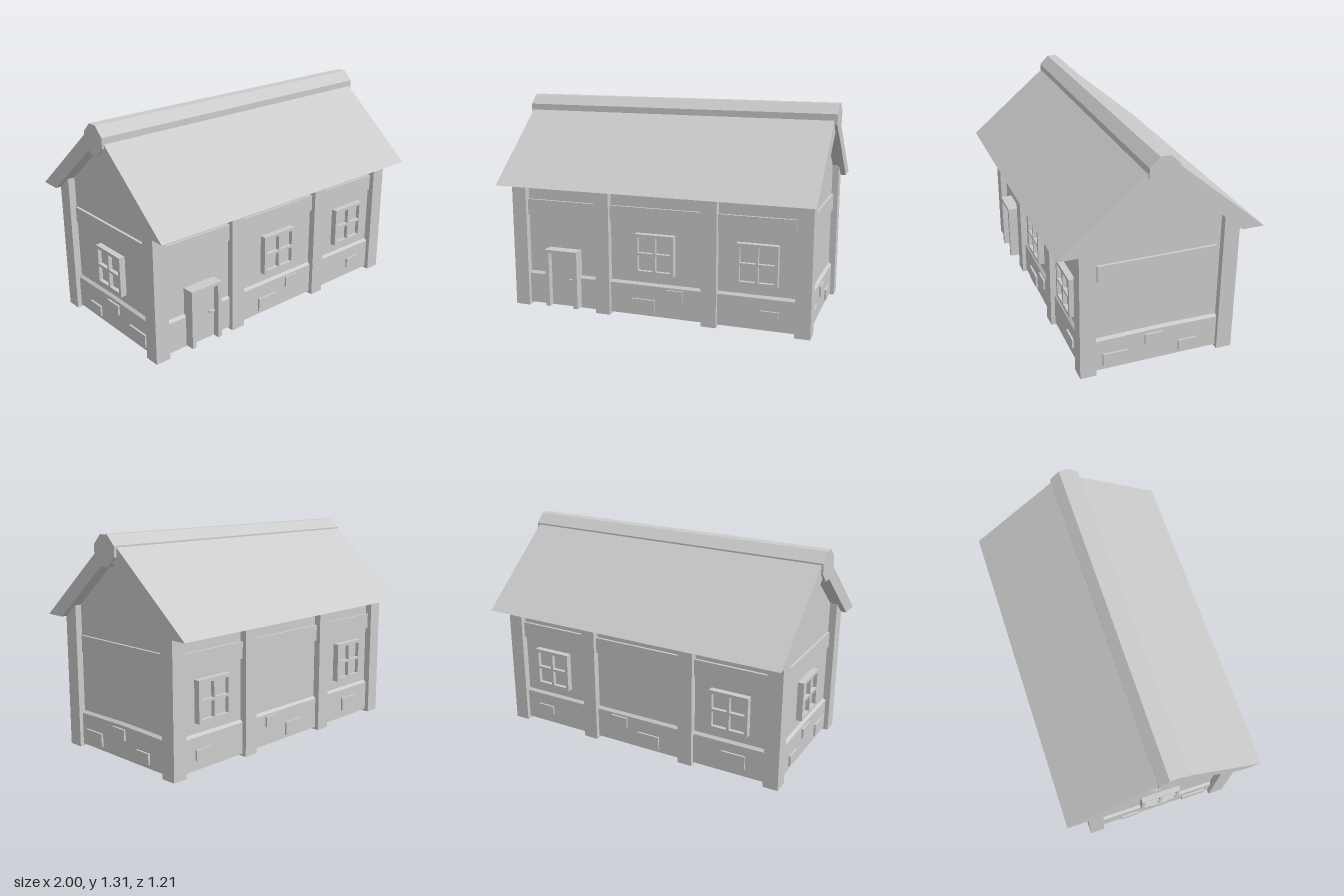
import * as THREE from 'three';

const mat = new THREE.MeshStandardMaterial({ color: 0xcccccc, flatShading: true });

function add(parent, name, geometry) {
  const mesh = new THREE.Mesh(geometry, mat);
  mesh.name = name;
  parent.add(mesh);
  return mesh;
}

// Box given by its limits on each axis
function block(parent, name, x0, x1, y0, y1, z0, z1) {
  const mesh = add(parent, name, new THREE.BoxGeometry(x1 - x0, y1 - y0, z1 - z0));
  mesh.position.set((x0 + x1) / 2, (y0 + y1) / 2, (z0 + z1) / 2);
  return mesh;
}

// Extrudes a [z, y] outline along x
function alongX(parent, name, points, x0, x1) {
  const shape = new THREE.Shape(points.map(([z, y]) => new THREE.Vector2(-z, y)));
  const geo = new THREE.ExtrudeGeometry(shape, { depth: x1 - x0, bevelEnabled: false });
  geo.rotateY(Math.PI / 2).translate(x0, 0, 0);
  return add(parent, name, geo);
}

// Four-pane window on a wall at distance d
function addWindow(side, x, d) {
  const win = new THREE.Group();
  win.name = 'window';
  win.position.set(x, 0.408, d);
  side.add(win);
  const rect = (path, x0, x1, y0, y1) =>
    path.moveTo(x0, y0).lineTo(x1, y0).lineTo(x1, y1).lineTo(x0, y1).closePath();
  const shape = rect(new THREE.Shape(), -0.124, 0.124, -0.124, 0.124);
  for (const a of [-0.104, 0.008])
    for (const b of [-0.104, 0.008])
      shape.holes.push(rect(new THREE.Path(), a, a + 0.096, b, b + 0.096));
  add(win, 'windowFrame', new THREE.ExtrudeGeometry(shape, { depth: 0.038, bevelEnabled: false }));
  block(win, 'windowPanes', -0.11, 0.11, -0.11, 0.11, -0.01, 0.014);
}

// One face of the house, built facing +z and then turned into place
function addSide(house, name, angle, d, band, windows, stones) {
  const side = new THREE.Group();
  side.name = name;
  side.rotation.y = angle;
  house.add(side);
  block(side, 'wallBeam', band[0], band[1], 0.59, 0.69, d - 0.02, d + 0.016);
  windows.forEach((x) => addWindow(side, x, d));
  for (const [x0, x1, y0, y1] of stones)
    block(side, 'foundationStone', x0, x1, y0, y1, d - 0.01, d + 0.028);
  return side;
}

export function createModel() {
  const house = new THREE.Group();
  house.name = 'house';
  const WX = 0.91, WZ = 0.43, SLOPE = 0.836;

  // Walls with gables
  const under = (z) => 0.797 + (0.47 - Math.abs(z)) * SLOPE + 0.015;
  alongX(house, 'walls',
    [[WZ, 0.02], [WZ, under(WZ)], [0, under(0)], [-WZ, under(WZ)], [-WZ, 0.02]], -WX, WX);

  // Foundation with a sloped ledge that rises slightly at mid depth
  const base = new THREE.BoxGeometry(2, 2, 2, 1, 2, 2);
  const p = base.attributes.position;
  for (let i = 0; i < p.count; i++) {
    const level = Math.round(p.getY(i)) + 1;
    const grow = level === 2 ? 0 : 0.016;
    const z = p.getZ(i);
    const rise = level > 0 && Math.abs(z) < 0.5 ? 0.008 : 0;
    p.setXYZ(i, p.getX(i) * (WX + grow), [0.015, 0.207, 0.222][level] + rise, z * (WZ + grow));
  }
  base.computeVertexNormals();
  add(house, 'foundation', base);

  // Timber posts, front and back
  for (const s of [1, -1])
    for (const x of [-0.907, -0.345, 0.34, 0.903])
      block(house, 'post', x - 0.047, x + 0.047, 0, 0.87, s * 0.4245 - 0.0475, s * 0.4245 + 0.0475);

  // Roof slabs and ridge beam
  for (const s of [1, -1])
    alongX(house, 'roofSlab',
      [[s * 0.605, 0.797], [0, 0.797 + 0.605 * SLOPE], [0, 0.797 + 0.47 * SLOPE], [s * 0.47, 0.797]],
      -0.988, 0.983);
  const R = 0.088, F = 0.031;
  const octagon = [[R, F], [F, R], [-F, R], [-R, F], [-R, -F], [-F, -R], [F, -R], [R, -F]];
  alongX(house, 'ridgeBeam', octagon.map(([z, y]) => [z + 0.017, y + 1.222]), -1, 1);

  // Four faces with beams, windows and stones
  const front = addSide(house, 'frontSide', 0, WZ, [-0.88, 0.85], [-0.005, 0.628],
    [[-0.16, -0.01, 0.035, 0.12], [0.07, 0.175, 0.13, 0.195], [0.65, 0.76, 0.075, 0.135]]);
  addSide(house, 'backSide', Math.PI, WZ, [-0.88, 0.88], [-0.632, 0.625],
    [[-0.765, -0.65, 0.075, 0.135], [-0.185, -0.075, 0.13, 0.195],
      [0, 0.155, 0.035, 0.12], [0.58, 0.735, 0.065, 0.15]]);
  addSide(house, 'leftSide', Math.PI / 2, WX, [-0.36, 0.35], [],
    [[-0.33, -0.18, 0.04, 0.12], [-0.075, 0.035, 0.13, 0.195], [0.135, 0.245, 0.04, 0.105]]);
  addSide(house, 'rightSide', -Math.PI / 2, WX, [-0.36, 0.36], [0.005],
    [[-0.245, -0.13, 0.04, 0.105], [-0.045, 0.07, 0.13, 0.195], [0.18, 0.34, 0.04, 0.12]]);

  // Door with its frame and handle
  const door = new THREE.Group();
  door.name = 'door';
  front.add(door);
  block(door, 'doorJamb', -0.722, -0.695, 0.022, 0.368, 0.42, 0.505);
  block(door, 'doorJamb', -0.53, -0.503, 0.022, 0.368, 0.42, 0.505);
  block(door, 'doorLintel', -0.722, -0.503, 0.368, 0.388, 0.42, 0.505);
  block(door, 'doorPanel', -0.7, -0.525, 0.025, 0.372, 0.42, 0.465);
  block(door, 'doorHandle', -0.57, -0.535, 0.19, 0.2, 0.46, 0.48);

  return house;
}
